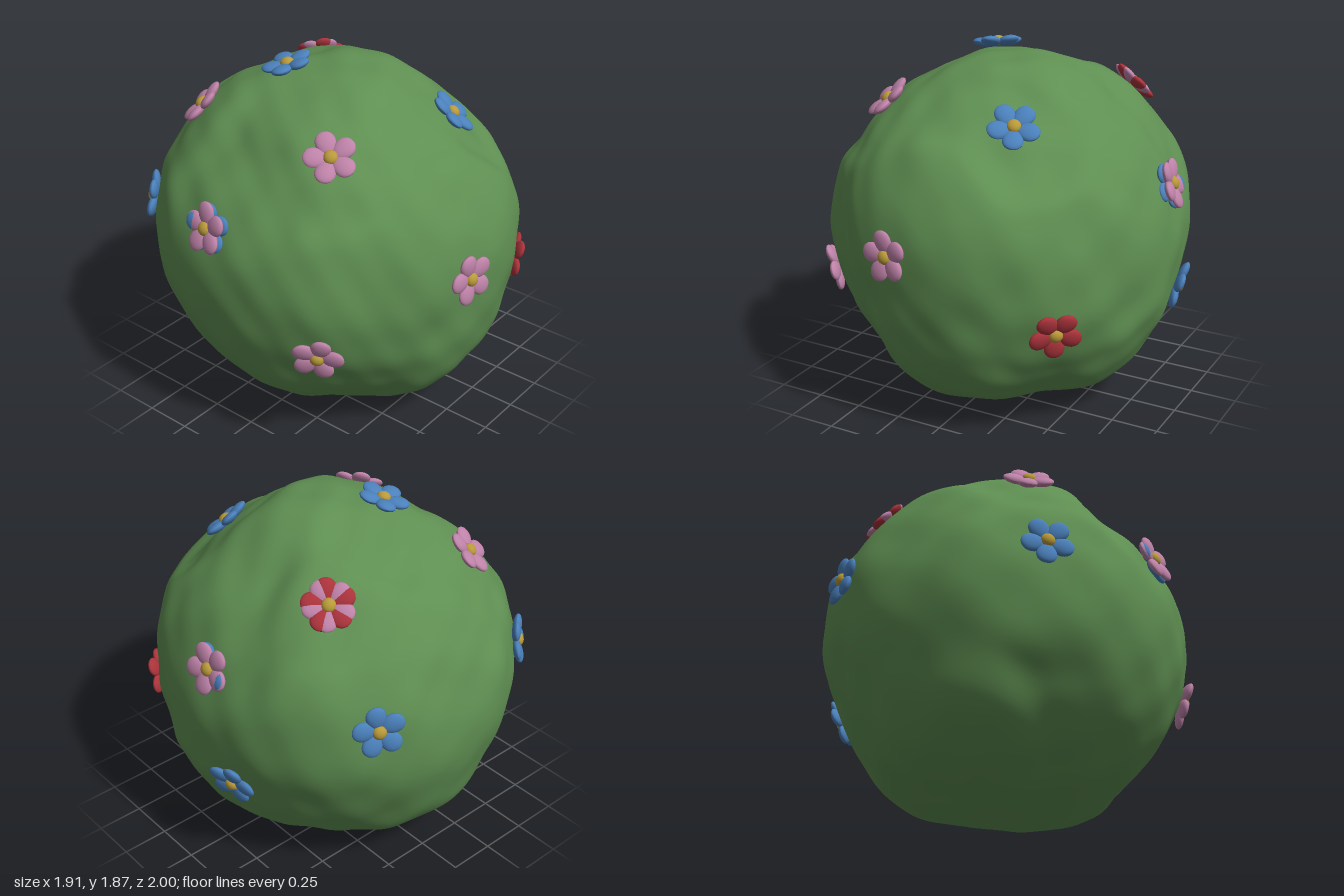
import * as THREE from 'three';
import { mergeVertices, mergeGeometries } from 'three/addons/utils/BufferGeometryUtils.js';

const mat = (name, color) => new THREE.MeshStandardMaterial({ name, color });
const CENTRE = new THREE.Vector3(0, 0.92, 0);

// flowers: colour, position, spin in degrees, optional second bloom [colour, tilt, offset, spin]
const FLOWERS = [
  ['pink', [-0.16, 0.99, 0.955], 13],
  ['blue', [0.3, 1.59, 0.5], 30],
  ['red', [0.645, 0.66, 0.72], 36],
  ['pink', [-0.51, 1.6, 0.36], 20],
  ['pink', [-0.79, 0.66, 0.5], -15],
  ['blue', [-0.17, 1.825, -0.2], 33],
  ['red', [0.48, 1.61, -0.53], 10, ['pink', 0, 0, 30]],
  ['pink', [0.89, 1.22, -0.11], 32, ['blue', -0.2, -0.016, 32]],
  ['pink', [-0.9, 1.22, -0.11], 10, ['blue', 0.2, -0.016, 10]],
  ['blue', [0.48, 1.08, -0.89], 10],
  ['blue', [0.89, 0.6, -0.26], 57],
  ['blue', [-0.62, 1.07, -0.77], 30],
  ['pink', [-0.42, 1.59, -0.57], 25],
];

// outlines of the lumpy ball in three planes, and lumps between them
const FRONT = [
  [-0.94, 0.93], [-0.89, 0.59], [-0.76, 0.33], [-0.56, 0.15], [-0.3, 0.04], [0, 0], [0.32, 0.04],
  [0.65, 0.15], [0.86, 0.44], [0.94, 0.93], [0.83, 1.31], [0.71, 1.49], [0.52, 1.62], [0.37, 1.77],
  [0.19, 1.84], [0, 1.81], [-0.4, 1.7], [-0.66, 1.44], [-0.81, 1.29],
];
const SIDE = [
  [0.95, 1.12], [0.94, 0.8], [0.89, 0.53], [0.84, 0.35], [0.66, 0.15], [0.35, 0.05], [-0.35, 0.04],
  [-0.62, 0.12], [-0.83, 0.28], [-0.95, 0.6], [-0.99, 1.0], [-0.94, 1.22], [-0.87, 1.39],
  [-0.34, 1.74], [0.1, 1.84], [0.48, 1.65], [0.83, 1.34],
];
const TOP = [
  [-0.24, -1.0], [-0.5, -0.87], [-0.66, -0.71], [-0.82, -0.53], [-0.92, -0.24], [-0.92, 0.19],
  [-0.82, 0.48], [-0.63, 0.66], [-0.4, 0.85], [0.24, 0.94], [0.45, 0.84], [0.72, 0.59],
  [0.87, 0.32], [0.85, -0.45], [0.77, -0.63], [0.61, -0.82], [0.29, -0.97],
];
const LUMPS = [
  [0.6, 0.42, -0.6], [0.5, 0.45, -0.72], [0.73, 0.52, -0.48], [0.63, 0.75, -0.74],
  [0.72, 1.05, -0.7], [-0.18, 1.73, -0.47], [-0.55, 0.4, 0.55],
];

const controls = [
  ...FRONT.map(([x, y]) => [x, y, 0]),
  ...SIDE.map(([z, y]) => [0, y, z]),
  ...TOP.map(([x, z]) => [x, 0.92, z]),
  ...LUMPS,
].map((p) => control(p, 0)).concat(FLOWERS.map((f) => control(f[1], 0.028)));

function control(p, inset) {
  const dir = new THREE.Vector3(...p).sub(CENTRE);
  const radius = dir.length() - inset;
  return { dir: dir.normalize(), radius };
}

// radius of the ball along a direction: blended outline points plus soft lumps
function ballRadius(d) {
  let sum = 0.02 * 0.945, weight = 0.02;
  for (const c of controls) {
    const w = Math.exp(-45 * (1 - d.dot(c.dir)));
    sum += w * c.radius;
    weight += w;
  }
  const lumps = Math.sin(7 * d.x + 2 * d.y + 1) * Math.sin(6 * d.y - 3 * d.z) * Math.sin(7 * d.z + 2 * d.x + 2);
  const ripples = Math.sin(15 * d.x + 4 * d.z) * Math.sin(14 * d.y + 5 * d.x) * Math.sin(16 * d.z + 3 * d.y);
  return sum / weight + 0.008 * lumps + 0.008 * ripples;
}

function ballGeometry() {
  let g = new THREE.IcosahedronGeometry(1, 40);
  g.deleteAttribute('uv');
  g.deleteAttribute('normal');
  g = mergeVertices(g, 1e-5);
  const pos = g.attributes.position;
  const d = new THREE.Vector3();
  for (let i = 0; i < pos.count; i++) {
    d.fromBufferAttribute(pos, i).normalize();
    d.multiplyScalar(ballRadius(d)).add(CENTRE);
    pos.setXYZ(i, d.x, Math.max(0, d.y), d.z);
  }
  g.computeVertexNormals();
  return g;
}

// five broad rounded petals, tips lifted slightly outward (+z)
function petalGeometry() {
  const petals = [];
  for (let i = 0; i < 5; i++) {
    const p = new THREE.SphereGeometry(1, 18, 12);
    // widen each petal towards its tip
    const pos = p.attributes.position;
    for (let k = 0; k < pos.count; k++) pos.setX(k, pos.getX(k) * (1 + 0.15 * pos.getY(k)));
    p.scale(0.051, 0.062, 0.024);
    p.computeVertexNormals();
    p.rotateX(0.15);
    p.translate(0, 0.073, 0.004);
    p.rotateZ((i * Math.PI * 2) / 5);
    petals.push(p);
  }
  return mergeGeometries(petals);
}

export function createModel() {
  const model = new THREE.Group();
  model.name = 'flowerBall';
  const materials = {
    green: mat('leafGreen', 0x5f8f52),
    pink: mat('petalPink', 0xbe82a8),
    blue: mat('petalBlue', 0x4a80bb),
    red: mat('petalRed', 0xaa333b),
    yellow: mat('centreYellow', 0xb99a3a),
  };
  const add = (parent, name, geometry, material) => {
    const mesh = new THREE.Mesh(geometry, material);
    mesh.name = name;
    parent.add(mesh);
    return mesh;
  };

  add(model, 'bushBall', ballGeometry(), materials.green);

  const petals = petalGeometry();
  const heart = new THREE.SphereGeometry(0.036, 16, 12).scale(1, 1, 0.75);
  for (const [colour, at, spin, second] of FLOWERS) {
    const flower = new THREE.Group();
    flower.name = 'flower';
    flower.position.set(...at);
    flower.lookAt(flower.position.clone().multiplyScalar(2).sub(CENTRE));
    flower.translateZ(-0.006);
    add(flower, 'petals', petals, materials[colour]).rotation.z = THREE.MathUtils.degToRad(spin);
    add(flower, 'flowerCentre', heart, materials.yellow).position.z = 0.01;
    // overlapping second bloom, slightly smaller
    if (second) {
      const [colour2, tilt, offset, spin2] = second;
      const bloom = add(flower, 'secondPetals', petals, materials[colour2]);
      bloom.rotation.set(0, tilt, THREE.MathUtils.degToRad(spin2));
      bloom.position.z = offset;
      bloom.scale.setScalar(0.97);
    }
    model.add(flower);
  }
  return model;
}
